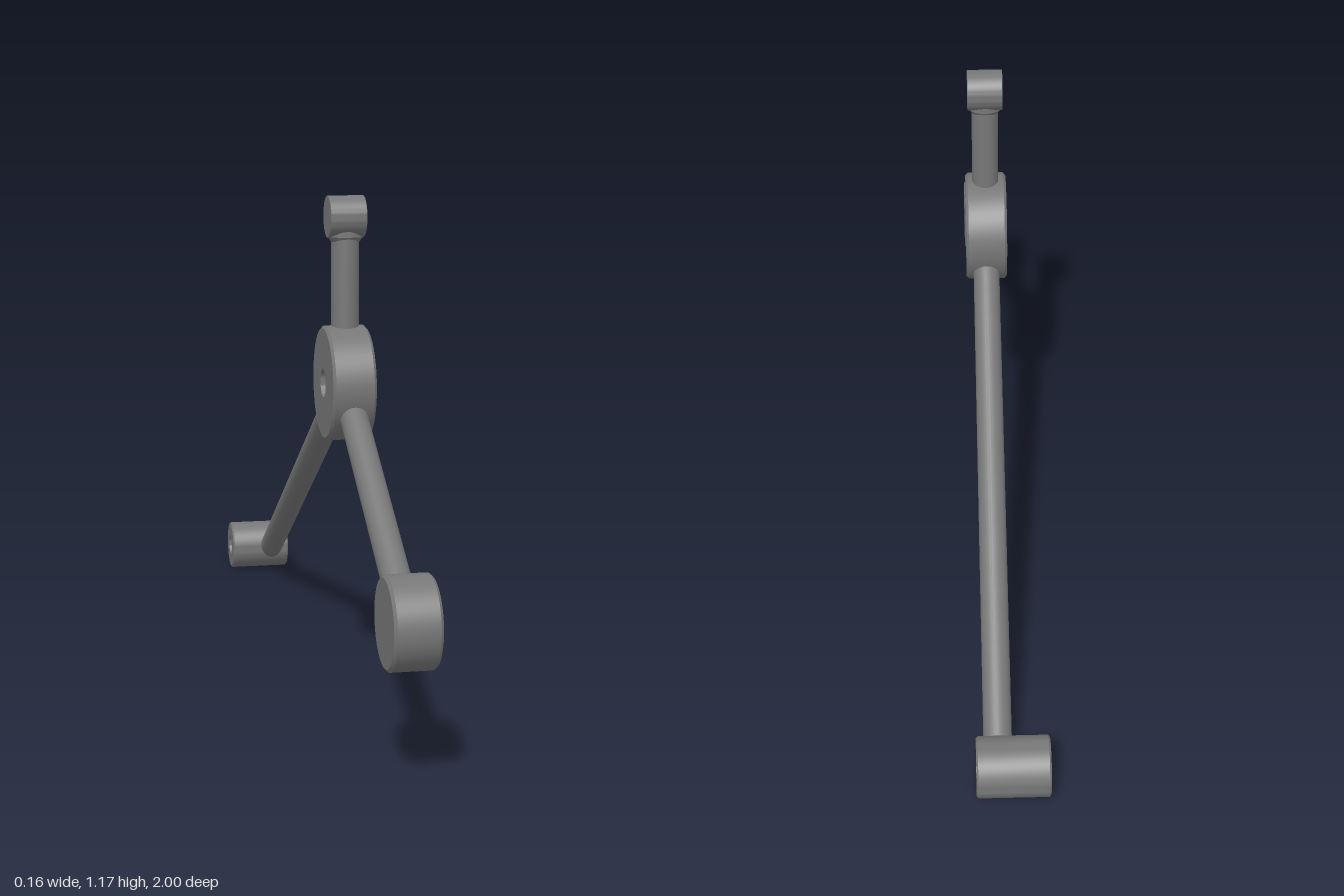
import * as THREE from 'three';
import { toCreasedNormals } from 'three/addons/utils/BufferGeometryUtils.js';

const material = new THREE.MeshStandardMaterial({ color: 0x777777 });
const ROD_X = 0.033, ROD_R = 0.032;

// Bevelled disc or sleeve lying along x, with an optional bore
function disc(name, [y, z], x0, x1, radius, bore = 0, bevel = 0.006) {
  const h = (x1 - x0) / 2;
  const profile = [
    [bore, -h], [radius - bevel, -h], [radius, -h + bevel],
    [radius, h - bevel], [radius - bevel, h], [bore, h],
  ];
  if (bore) profile.push([bore, -h]);
  const lathe = new THREE.LatheGeometry(profile.map(p => new THREE.Vector2(...p)), 48);
  const mesh = new THREE.Mesh(toCreasedNormals(lathe, 0.5), material);
  mesh.name = name;
  mesh.rotation.z = -Math.PI / 2;
  mesh.position.set((x0 + x1) / 2, y, z);
  return mesh;
}

// Round rod along the line from one point to another, shortened at each end
function rod(name, [ya, za], [yb, zb], gapA, gapB) {
  const a = new THREE.Vector3(ROD_X, ya, za), b = new THREE.Vector3(ROD_X, yb, zb);
  const dir = b.clone().sub(a).normalize();
  a.addScaledVector(dir, gapA);
  b.addScaledVector(dir, -gapB);
  const mesh = new THREE.Mesh(new THREE.CylinderGeometry(ROD_R, ROD_R, a.distanceTo(b), 32), material);
  mesh.name = name;
  mesh.position.copy(a).lerp(b, 0.5);
  mesh.quaternion.setFromUnitVectors(new THREE.Vector3(0, 1, 0), dir);
  return mesh;
}

export function createModel() {
  const group = new THREE.Group();
  group.name = 'threeArmLever';

  // Joint centres as [y, z]
  const hub = [0.737, 0.235], front = [0.354, 0.902], rear = [0.067, -0.934], top = [1.12, 0.235];

  group.add(
    disc('hub', hub, -0.018, 0.082, 0.133, 0.033),
    disc('frontPad', front, -0.018, 0.082, 0.098),
    disc('rearSleeve', rear, -0.082, 0.082, 0.067, 0.028, 0.004),
    disc('topKnob', top, -0.009, 0.075, 0.048, 0, 0.001),
    // The two sloping arms meet their end joints slightly below centre
    rod('frontArm', hub, [front[0] - 0.012, front[1]], 0.08, 0.03),
    rod('rearArm', hub, [rear[0] - 0.027, rear[1]], 0.08, 0.05),
    rod('topArm', hub, top, 0.08, 0.02),
  );

  // Flared oval neck where the upright arm meets the knob
  const neck = [[ROD_R, 1.062], [0.041, 1.074], [0.041, 1.097], [0, 1.097]].map(p => new THREE.Vector2(...p));
  const collar = new THREE.Mesh(toCreasedNormals(new THREE.LatheGeometry(neck, 32), 0.5), material);
  collar.name = 'topCollar';
  collar.scale.z = 0.85;
  collar.position.set(ROD_X, 0, top[1]);
  group.add(collar);

  return group;
}
